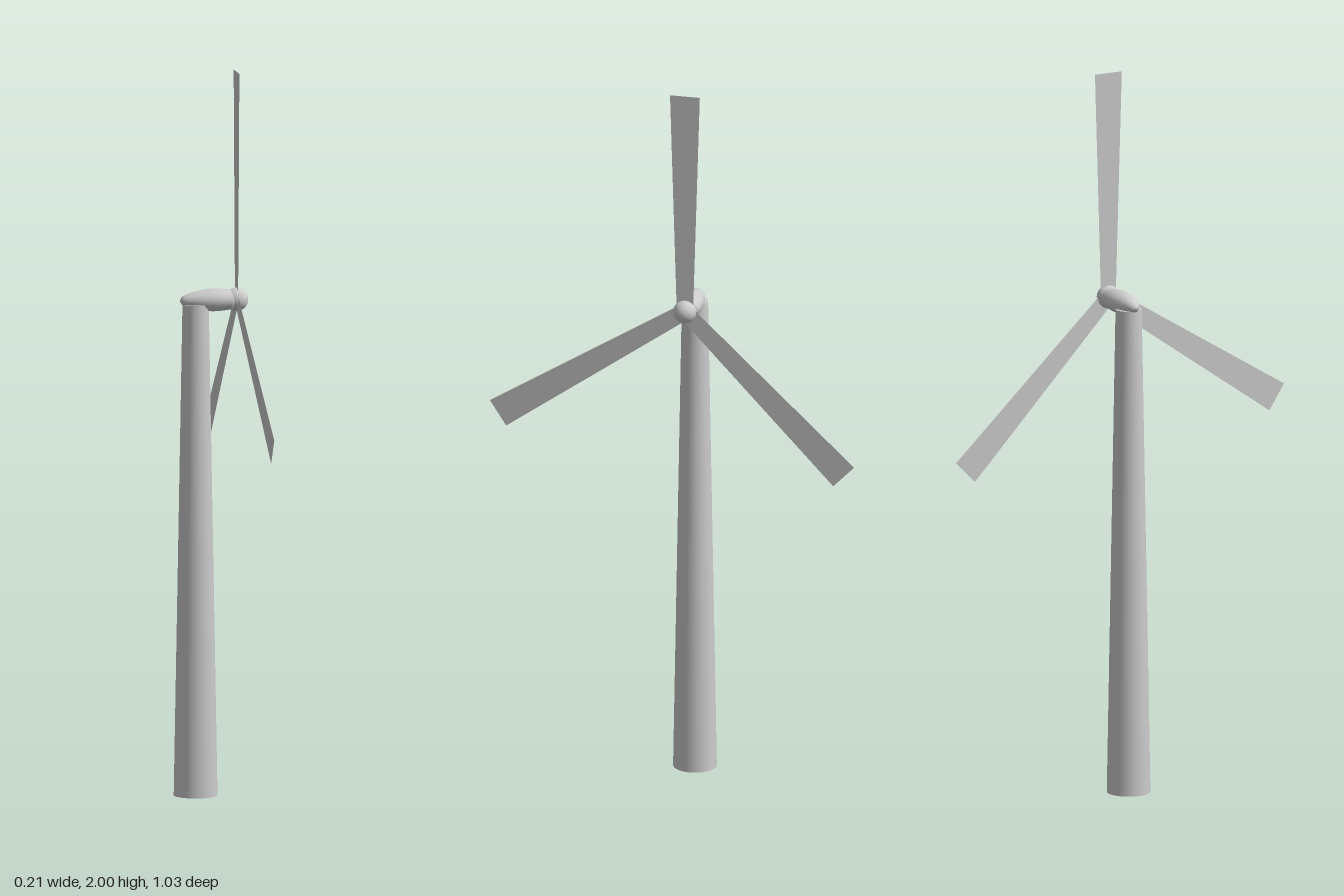
import * as THREE from 'three';

const AXIS_Y = 1.37, AXIS_Z = -0.035;
const grey = new THREE.MeshStandardMaterial({ color: 0xcccccc });
const greyThin = new THREE.MeshStandardMaterial({ color: 0xcccccc, side: THREE.DoubleSide });

function part(name, geometry, x, y, z, material = grey) {
  const mesh = new THREE.Mesh(geometry, material);
  mesh.name = name;
  mesh.position.set(x, y, z);
  return mesh;
}

// Flat blade in the y-z plane, widening from root to tip
function bladeGeometry(length, rootWidth, tipWidth) {
  const shape = new THREE.Shape([
    new THREE.Vector2(-rootWidth / 2, 0),
    new THREE.Vector2(rootWidth / 2, 0),
    new THREE.Vector2(tipWidth / 2, length),
    new THREE.Vector2(-tipWidth / 2, length),
  ]);
  return new THREE.ShapeGeometry(shape).rotateY(Math.PI / 2);
}

export function createModel() {
  const model = new THREE.Group();
  model.name = 'windTurbine';

  // Tapered tower
  const towerHeight = 1.36;
  model.add(part('tower', new THREE.CylinderGeometry(0.036, 0.06, towerHeight, 32), -0.043, towerHeight / 2, AXIS_Z));

  // Nacelle: a rounded teardrop along x, slightly flattened in height
  const profile = new THREE.SplineCurve([
    [0, -0.087], [0.013, -0.08], [0.022, -0.063], [0.03, -0.035],
    [0.035, 0], [0.034, 0.03], [0.03, 0.06],
  ].map(([r, x]) => new THREE.Vector2(r, x))).getPoints(20);
  profile[0].x = 0;
  profile.push(new THREE.Vector2(0, 0.06));
  const nacelle = new THREE.LatheGeometry(profile, 32).rotateZ(-Math.PI / 2).scale(1, 0.88, 1);
  model.add(part('nacelle', nacelle, 0, AXIS_Y, AXIS_Z));

  // Rotor: hub and three blades
  const rotor = new THREE.Group();
  rotor.name = 'rotor';
  rotor.position.set(0.071, AXIS_Y, AXIS_Z);
  rotor.add(part('hub', new THREE.SphereGeometry(0.032, 32, 20), 0, 0, 0));
  const blade = bladeGeometry(0.63, 0.046, 0.084);
  for (const degrees of [0, 123.2, -134.7]) {
    const mesh = part('blade', blade, 0, 0, 0, greyThin);
    mesh.rotation.x = THREE.MathUtils.degToRad(degrees);
    rotor.add(mesh);
  }
  model.add(rotor);
  return model;
}
